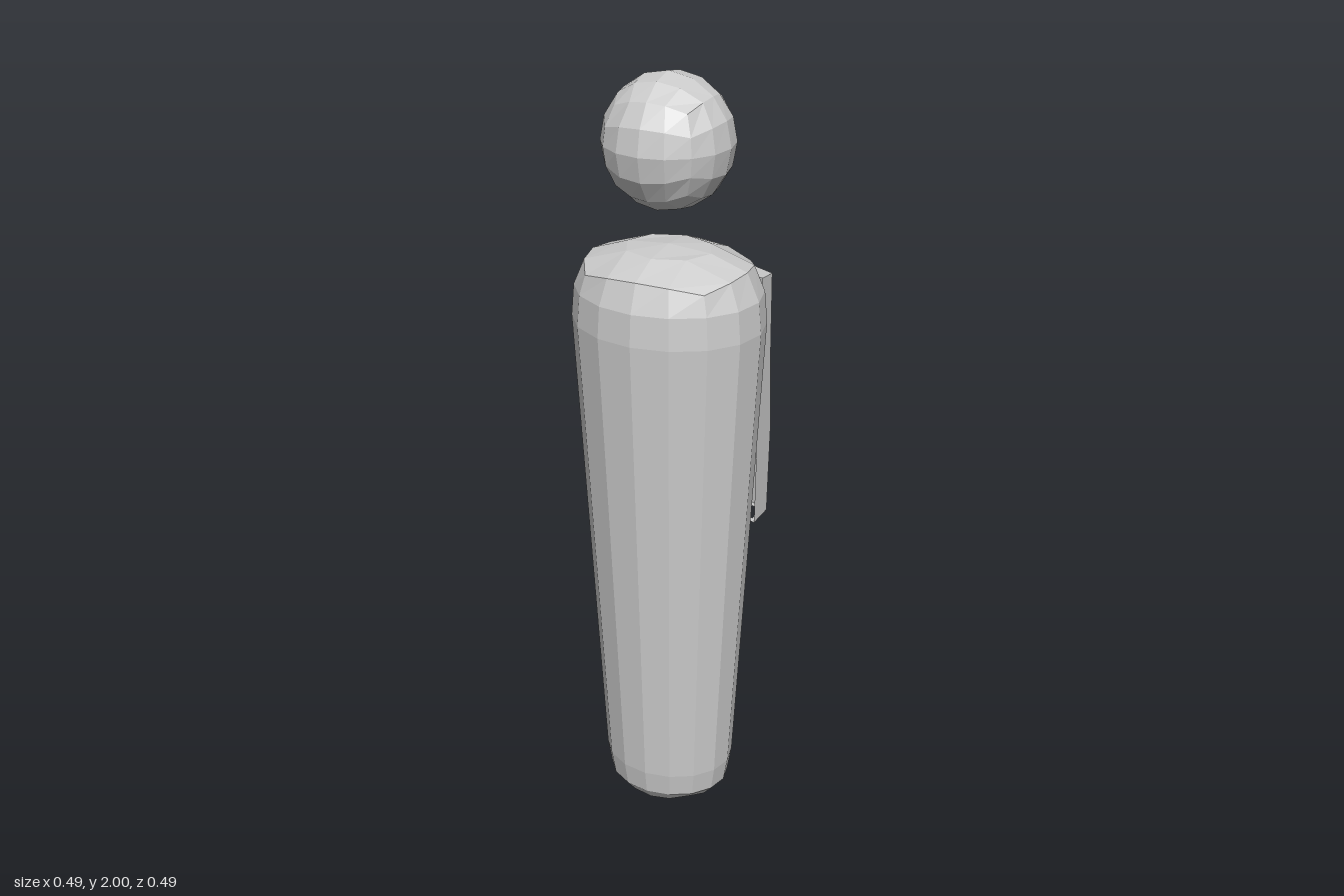
import * as THREE from 'three';

const material = new THREE.MeshStandardMaterial({ color: 0xcccccc, flatShading: true, side: THREE.DoubleSide });
const CENTER_Z = 0.035;

// Moves every vertex by a rule, then facets the result
function reshape(geometry, rule) {
  const pos = geometry.attributes.position;
  const p = new THREE.Vector3();
  for (let i = 0; i < pos.count; i++) {
    p.fromBufferAttribute(pos, i);
    rule(p, i);
    pos.setXYZ(i, p.x, p.y, p.z);
  }
  const faceted = geometry.toNonIndexed();
  faceted.computeVertexNormals();
  return faceted;
}

function addPart(group, name, geometry) {
  const mesh = new THREE.Mesh(geometry, material);
  mesh.name = name;
  group.add(mesh);
}

// Head: a cube with 4 cells per side, inflated to a ball
function headGeometry() {
  const bend = (c) => Math.tan(c * Math.PI / 4);
  return reshape(new THREE.BoxGeometry(2, 2, 2, 4, 4, 4), (p) => {
    p.set(bend(p.x), bend(p.y), bend(p.z)).normalize();
    p.set(p.x * 0.161, 1.835 + p.y * 0.165, CENTER_Z + p.z * 0.162);
  });
}

// Body: a tall box rounded into a tapered capsule, slightly flattened in depth
function bodyGeometry() {
  // [radius, height] of each ring, from the bottom edge to the top edge
  const rows = [[0.133, 0.035], [0.163, 0.07], [0.174, 0.135], [0.245, 1.39], [0.238, 1.47], [0.207, 1.54]];
  const bottomCap = [[0, 0], [0.075, 0.01]];
  const topCap = [[0, 1.582], [0.112, 1.573]];
  return reshape(new THREE.BoxGeometry(2, 5, 2, 4, 5, 4), (p) => {
    const row = Math.round(p.y + 2.5);
    const ring = Math.round(2 * Math.max(Math.abs(p.x), Math.abs(p.z)));
    let [r, y] = rows[row];
    if (ring < 2) [r, y] = (row === 0 ? bottomCap : topCap)[ring];

    // Square outline to circle
    const alongX = Math.abs(p.x) >= Math.abs(p.z);
    const slope = ring === 0 ? 0 : alongX ? p.z / p.x : p.x / p.z;
    const a = slope * Math.PI / 4;
    let dx = alongX ? Math.cos(a) : Math.sin(a);
    let dz = alongX ? Math.sin(a) : Math.cos(a);
    if ((alongX ? p.x : p.z) < 0) { dx = -dx; dz = -dz; }

    // The four corners of each cap sit a little lower and wider
    if (ring === 2 && (row === 0 || row === 5)) {
      r *= 1 + 0.07 * slope * slope;
      y += (row === 0 ? 0.015 : -0.02) * slope * slope;
    }
    p.set(dx * r, y, CENTER_Z + dz * r * 0.86);
  });
}

// Back pack: curved shell with a closed top, open towards the body
const PACK_X = [0.18, 0.18, 0.095, 0, -0.095, -0.18, -0.18];
function packGeometry() {
  // Per row: height, then z of the front edge, outer corner, quarter and middle
  const rows = [
    [1.47, -0.12, -0.12, -0.155, -0.175],
    [1.463, -0.12, -0.182, -0.223, -0.235],
    [1.24, -0.114, -0.184, -0.215, -0.226],
    [1.03, -0.107, -0.195, -0.234, -0.246],
    [0.8, -0.1, -0.182, -0.22, -0.232],
  ];
  return reshape(new THREE.PlaneGeometry(1, 1, 6, 4), (p, i) => {
    const col = i % 7;
    const row = rows[Math.floor(i / 7)];
    const y = col === 0 || col === 6 ? Math.min(row[0] + 0.005, 1.47) : row[0];
    p.set(PACK_X[col], row[0] === 0.8 ? 0.8 : y, row[1 + Math.min(col, 6 - col)]);
  });
}

// Thin frame around the pack's lower opening, with a rib in the middle
function rimGeometry() {
  const points = (list) => list.map(([x, z]) => new THREE.Vector2(x, z));
  const shape = new THREE.Shape(points([
    [-0.18, -0.1], [-0.18, -0.182], [-0.095, -0.22], [0, -0.232], [0.095, -0.22],
    [0.18, -0.182], [0.18, -0.1], [0.095, -0.135], [0, -0.15], [-0.095, -0.135],
  ]));
  for (const s of [-1, 1]) {
    shape.holes.push(new THREE.Path(points([
      [s * 0.008, -0.216], [s * 0.092, -0.206], [s * 0.166, -0.174],
      [s * 0.166, -0.122], [s * 0.092, -0.15], [s * 0.008, -0.164],
    ])));
  }
  return new THREE.ShapeGeometry(shape).rotateX(Math.PI / 2).translate(0, 0.8, 0);
}

export function createModel() {
  const model = new THREE.Group();
  model.name = 'figure';
  addPart(model, 'head', headGeometry());
  addPart(model, 'body', bodyGeometry());
  const pack = new THREE.Group();
  pack.name = 'backPack';
  addPart(pack, 'packShell', packGeometry());
  addPart(pack, 'packRim', rimGeometry());
  model.add(pack);
  return model;
}
